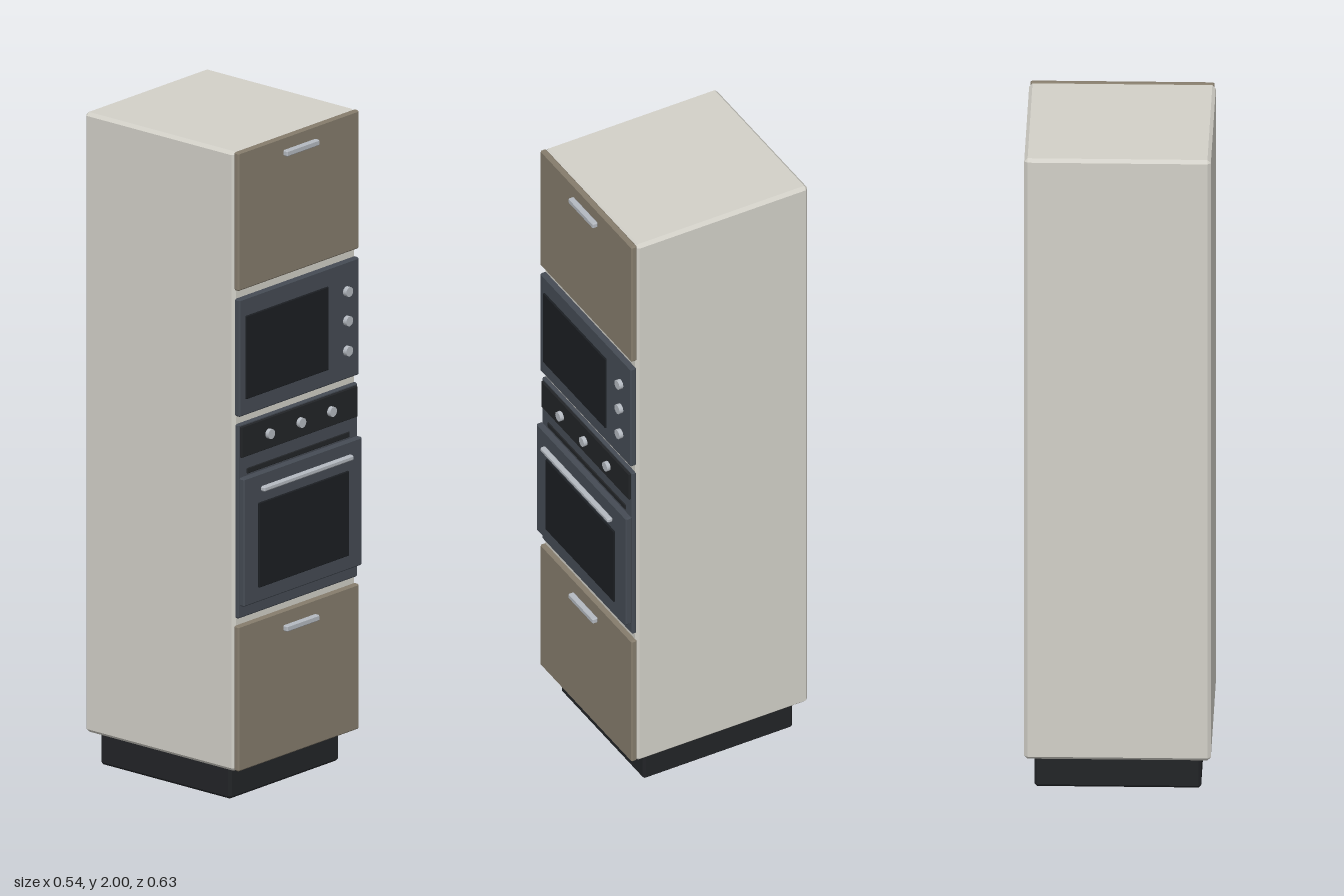
import * as THREE from 'three';
import { ConvexGeometry } from 'three/addons/geometries/ConvexGeometry.js';

const mat = (color) => new THREE.MeshStandardMaterial({ color });

// Box with flat chamfers on every edge, given by its limits
function chamferBox(name, material, [x0, x1], [y0, y1], [z0, z1], c) {
  const w = (x1 - x0) / 2, h = (y1 - y0) / 2, d = (z1 - z0) / 2;
  const points = [];
  for (const x of [-1, 1]) for (const y of [-1, 1]) for (const z of [-1, 1]) {
    points.push(
      new THREE.Vector3(x * w, y * (h - c), z * (d - c)),
      new THREE.Vector3(x * (w - c), y * h, z * (d - c)),
      new THREE.Vector3(x * (w - c), y * (h - c), z * d));
  }
  const mesh = new THREE.Mesh(new ConvexGeometry(points), material);
  mesh.position.set((x0 + x1) / 2, (y0 + y1) / 2, (z0 + z1) / 2);
  mesh.name = name;
  return mesh;
}

// Round control knob facing the front
function knob(name, material, x, y, z0, z1) {
  const geo = new THREE.CylinderGeometry(0.015, 0.015, z1 - z0, 20).rotateX(Math.PI / 2);
  const mesh = new THREE.Mesh(geo, material);
  mesh.position.set(x, y, (z0 + z1) / 2);
  mesh.name = name;
  return mesh;
}

export function createModel() {
  const model = new THREE.Group();
  model.name = 'tallOvenCabinet';
  const carcass = mat(0xd2d0c8), wood = mat(0x857c6c), steel = mat(0x454b54);
  const black = mat(0x222427), glass = mat(0x1b1e22), metal = mat(0xb4b9c0);
  const span = (half) => [-half, half];

  // Carcass and recessed plinth
  model.add(
    chamferBox('cabinetBody', carcass, span(0.272), [0.1, 2], [-0.318, 0.26], 0.01),
    chamferBox('plinth', black, span(0.243), [0, 0.1], [-0.283, 0.22], 0.008));

  // Upper and lower cupboard fronts with bar handles
  for (const [name, y0, y1, handleY] of [['upper', 1.576, 2, 1.953], ['lower', 0.103, 0.548, 0.496]]) {
    model.add(
      chamferBox(name + 'Door', wood, span(0.268), [y0, y1], [0.256, 0.275], 0.004),
      chamferBox(name + 'DoorHandle', metal, span(0.072), [handleY - 0.009, handleY + 0.009], [0.275, 0.293], 0.003));
  }

  // Microwave
  const microwave = new THREE.Group();
  microwave.name = 'microwave';
  microwave.add(
    chamferBox('microwaveFront', steel, span(0.266), [1.19, 1.55], [0.256, 0.277], 0.004),
    chamferBox('microwaveWindow', glass, [-0.24, 0.125], [1.24, 1.495], [0.272, 0.282], 0.002));
  for (const y of [1.46, 1.37, 1.278]) microwave.add(knob('microwaveKnob', metal, 0.208, y, 0.272, 0.29));
  model.add(microwave);

  // Oven: frame, control panel, vent, door, window and long handle
  const oven = new THREE.Group();
  oven.name = 'oven';
  oven.add(
    chamferBox('ovenFrame', steel, span(0.265), [0.57, 1.165], [0.256, 0.271], 0.004),
    chamferBox('controlPanel', black, span(0.257), [1.063, 1.158], [0.265, 0.278], 0.002),
    chamferBox('ventSlot', black, span(0.228), [1.007, 1.024], [0.265, 0.274], 0.002),
    chamferBox('ovenDoor', steel, span(0.263), [0.61, 1.003], [0.27, 0.291], 0.004),
    chamferBox('ovenWindow', glass, span(0.2), [0.655, 0.915], [0.286, 0.296], 0.002),
    chamferBox('ovenHandle', metal, span(0.199), [0.952, 0.968], [0.298, 0.315], 0.004));
  for (const x of [-0.138, 0, 0.136]) oven.add(knob('ovenKnob', metal, x, 1.11, 0.272, 0.29));
  model.add(oven);

  return model;
}
